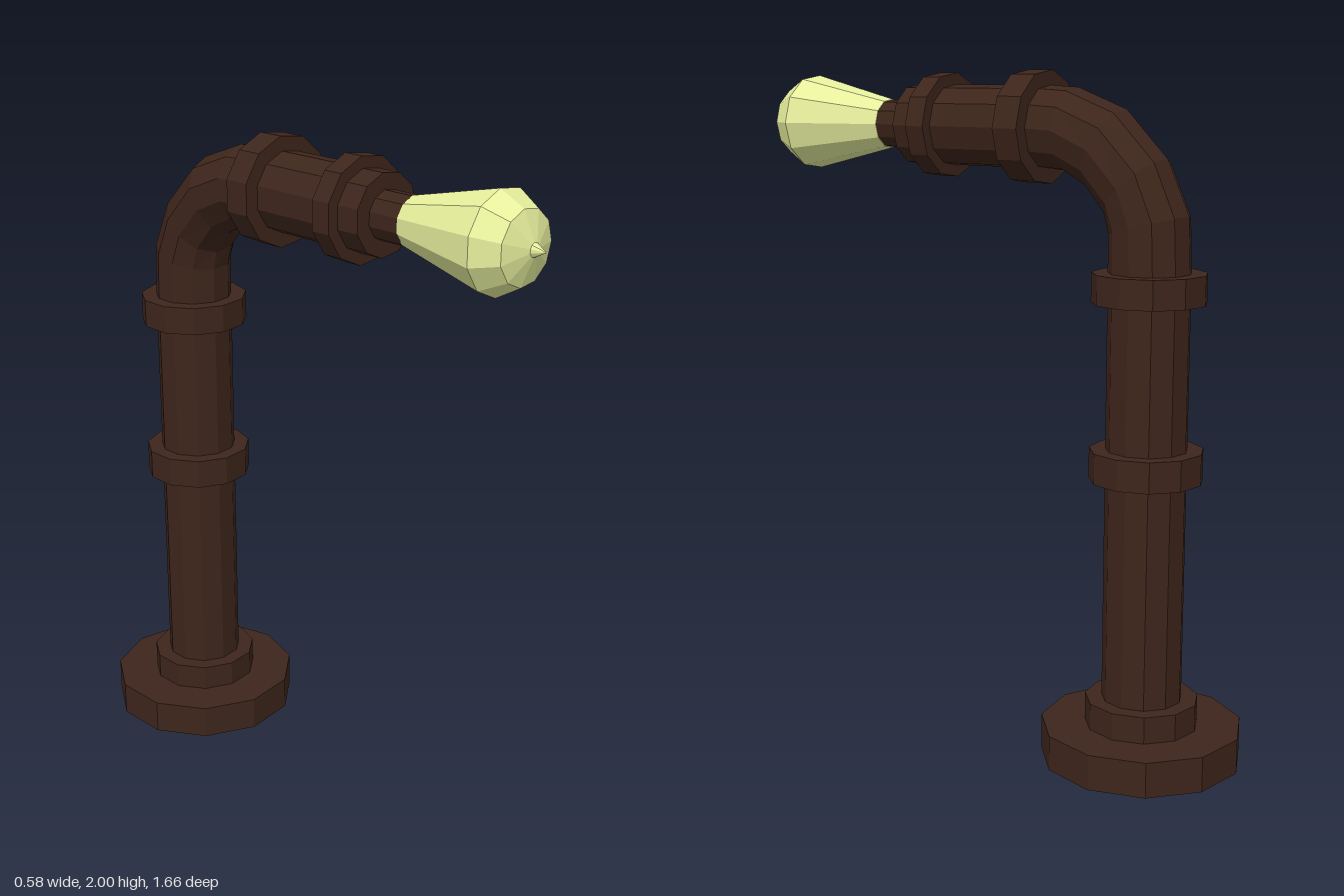
import * as THREE from 'three';

const SIDES = 11;
const CX = -0.006;      // axis offset in x
const POST_Z = -0.535;  // axis of the upright
const ARM_Y = 1.837;    // axis of the arm

const metal = new THREE.MeshStandardMaterial({ color: 0x3d251b, flatShading: true });
const glass = new THREE.MeshStandardMaterial({ color: 0xe6ee9c, flatShading: true });

// Skins a row of 11-sided rings [y, z, radius, tilt]; tilt 0 runs up, 90 runs forward.
function loft(name, rings, material) {
  const pos = [], index = [];
  for (const [y, z, r, tilt] of rings) {
    const t = THREE.MathUtils.degToRad(tilt);
    for (let j = 0; j < SIDES; j++) {
      const a = (j / SIDES) * Math.PI * 2;
      const v = r * Math.sin(a);
      pos.push(CX + r * Math.cos(a), y + v * Math.sin(t), z - v * Math.cos(t));
    }
  }
  for (let i = 0; i < rings.length - 1; i++) {
    for (let j = 0; j < SIDES; j++) {
      const k = (j + 1) % SIDES;
      const a = i * SIDES + j, b = i * SIDES + k, c = b + SIDES, d = a + SIDES;
      if (rings[i][2] > 0) index.push(a, b, c);
      if (rings[i + 1][2] > 0) index.push(a, c, d);
    }
  }
  const indexed = new THREE.BufferGeometry();
  indexed.setAttribute('position', new THREE.Float32BufferAttribute(pos, 3));
  indexed.setIndex(index);
  const geometry = indexed.toNonIndexed();
  geometry.computeVertexNormals();
  const mesh = new THREE.Mesh(geometry, material);
  mesh.name = name;
  return mesh;
}

// Solid disc around the upright
const postDisc = (name, y0, y1, r) => loft(name,
  [[y0, POST_Z, 0, 0], [y0, POST_Z, r, 0], [y1, POST_Z, r, 0], [y1, POST_Z, 0, 0]], metal);

// Solid disc around the arm
const armDisc = (name, z0, z1, r) => loft(name,
  [[ARM_Y, z0, 0, 90], [ARM_Y, z0, r, 90], [ARM_Y, z1, r, 90], [ARM_Y, z1, 0, 90]], metal);

export function createModel() {
  const lamp = new THREE.Group();
  lamp.name = 'pipeLamp';

  // Foot and collars on the upright
  lamp.add(
    postDisc('base', 0, 0.105, 0.2985),
    postDisc('baseCollar', 0.105, 0.185, 0.168),
    postDisc('lowerCollar', 0.845, 0.935, 0.166),
    postDisc('upperCollar', 1.357, 1.442, 0.166),
  );

  // Upright, elbow and arm in one bent pipe
  lamp.add(loft('pipe', [
    [0.185, POST_Z, 0.119, 0],
    [1.442, POST_Z, 0.119, 0],
    [1.575, -0.531, 0.119, 14],
    [1.68, -0.489, 0.117, 42],
    [1.783, -0.392, 0.12, 65],
    [1.832, -0.276, 0.12, 87],
    [ARM_Y, -0.19, 0.12, 90],
    [ARM_Y, 0.285, 0.12, 90],
    [ARM_Y, 0.285, 0, 90],
  ], metal));

  // Collars on the arm and the bulb socket
  lamp.add(
    armDisc('rearArmCollar', -0.19, -0.108, 0.164),
    armDisc('frontArmCollar', 0.147, 0.21, 0.155),
    armDisc('socket', 0.285, 0.387, 0.072),
  );

  // Bulb with a pointed tip
  lamp.add(loft('bulb', [
    [0.387, 0], [0.387, 0.074], [0.69, 0.1455], [0.765, 0.104],
    [0.793, 0.02], [0.83, 0],
  ].map(([z, r]) => [ARM_Y, z, r, 90]), glass));

  return lamp;
}
